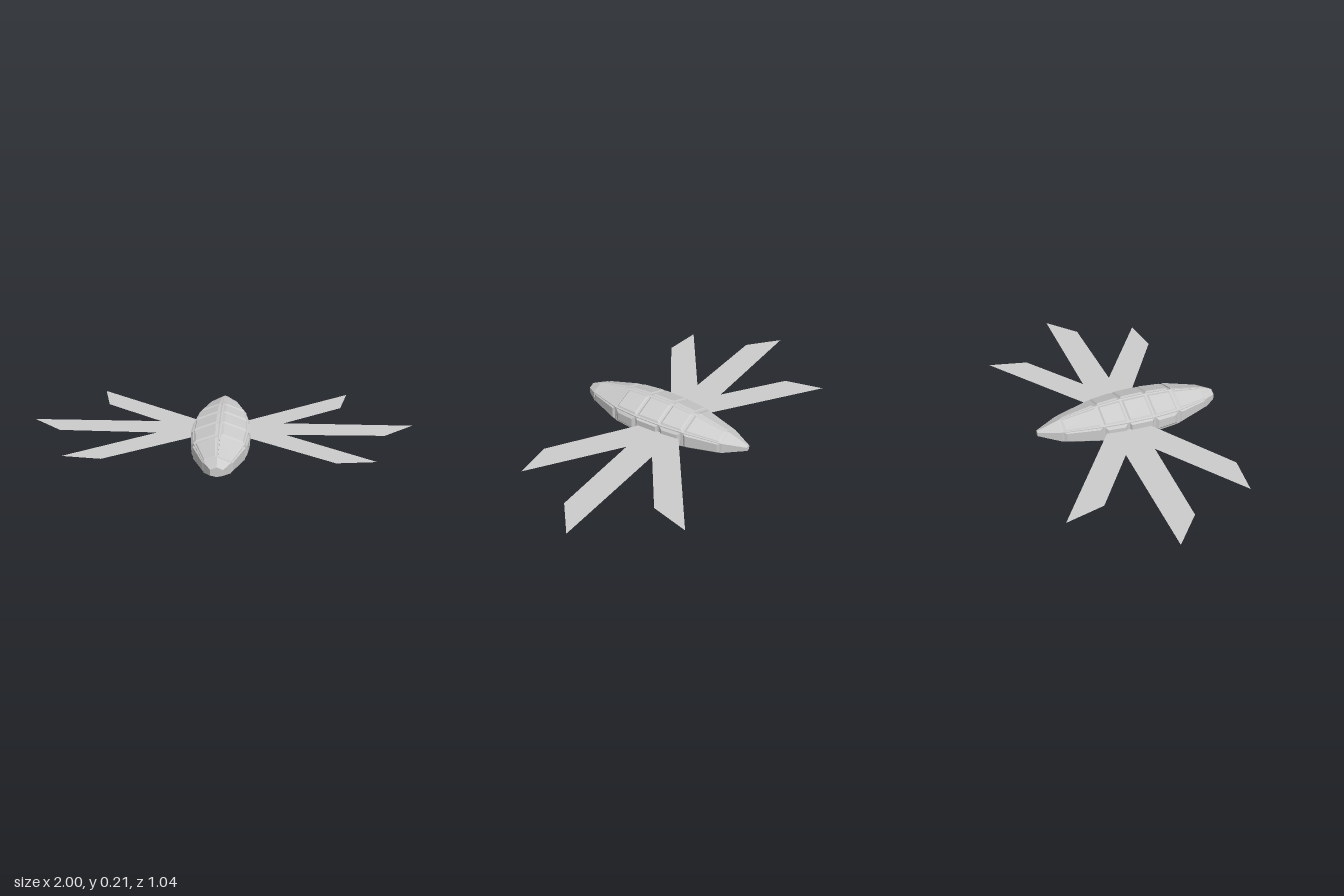
import * as THREE from 'three';

// Hull stations, nose to tail: z, half width, top ridge, upper shoulder, lower shoulder, keel
const STATIONS = [
  [0.525, 0.032, 0.139, 0.125, 0.093, 0.086],
  [0.47, 0.068, 0.166, 0.136, 0.08, 0.062],
  [0.28, 0.137, 0.203, 0.152, 0.062, 0.01],
  [0.14, 0.152, 0.214, 0.156, 0.058, -0.008],
  [0, 0.148, 0.214, 0.156, 0.058, -0.008],
  [-0.13, 0.132, 0.203, 0.152, 0.06, 0.008],
  [-0.335, 0.075, 0.165, 0.132, 0.07, 0.052],
  [-0.45, 0.013, 0.122, 0.118, 0.097, 0.092],
];
const AXIS_Y = 0.108;

// Six-sided ring, counter-clockwise seen from the front
function ring([z, w, top, up, low, keel], scale) {
  return [[0, top], [-w, up], [-w, low], [0, keel], [w, low], [w, up]]
    .map(([x, y]) => new THREE.Vector3(x * scale, AXIS_Y + (y - AXIS_Y) * scale, z));
}

function quads(list) {
  const pos = [];
  for (const [a, b, c, d] of list) for (const p of [a, b, c, a, c, d]) pos.push(p.x, p.y, p.z);
  const geo = new THREE.BufferGeometry();
  geo.setAttribute('position', new THREE.Float32BufferAttribute(pos, 3));
  geo.computeVertexNormals();
  return geo;
}

// Corners of one hull facet, inset by s across and t along, wound outwards
function facet(station, side, scale, s, t) {
  const f = ring(STATIONS[station], scale), r = ring(STATIONS[station + 1], scale);
  const n = (side + 1) % 6;
  const at = (u, v) => f[side].clone().lerp(f[n], u).lerp(r[side].clone().lerp(r[n], u), v);
  return [at(s, t), at(s, 1 - t), at(1 - s, 1 - t), at(1 - s, t)];
}

// Bevelled armour plate lying on a facet
function plate(station, side, s, t) {
  const base = facet(station, side, 0.92, 0.04, 0.03);
  const top = facet(station, side, 1, s, t);
  const walls = base.map((p, i) => {
    const j = (i + 1) % 4;
    return [p, base[j], top[j], top[i]];
  });
  return quads([top, ...walls]);
}

export function createModel() {
  const model = new THREE.Group();
  const shell = new THREE.MeshStandardMaterial({ color: 0xcccccc, flatShading: true, side: THREE.DoubleSide });
  shell.name = 'light grey';
  const add = (parent, name, geo) => {
    const mesh = new THREE.Mesh(geo, shell);
    mesh.name = name;
    parent.add(mesh);
    return mesh;
  };

  // Inner hull with closed nose and tail
  const skin = [];
  for (let i = 0; i < STATIONS.length - 1; i++)
    for (let k = 0; k < 6; k++) skin.push(facet(i, k, i === 0 ? 0.96 : 0.93, 0, 0));
  const nose = ring(STATIONS[0], 0.96), tail = ring(STATIONS[7], 0.93);
  skin.push([nose[0], nose[1], nose[2], nose[3]], [nose[0], nose[3], nose[4], nose[5]]);
  skin.push([tail[3], tail[2], tail[1], tail[0]], [tail[5], tail[4], tail[3], tail[0]]);
  add(model, 'hull', quads(skin));

  // Armour plates around the five body segments
  const names = ['upperRight', 'sideRight', 'lowerRight', 'lowerLeft', 'sideLeft', 'upperLeft'];
  for (let seg = 1; seg <= 5; seg++) {
    const group = new THREE.Group();
    group.name = `segment${seg}`;
    for (let k = 0; k < 6; k++) {
      const isSide = k === 1 || k === 4;
      let s = 0.15, t = 0.1;
      if (isSide && (seg === 2 || seg === 4)) [s, t] = [0.24, 0.16];
      if (seg === 1 && k === 5) [s, t] = [0.05, 0.04]; // broad smooth nose plate
      add(group, names[k] + 'Plate', plate(seg, k, s, t));
    }
    model.add(group);
  }

  // Flat three-bladed wings, mirrored
  const outline = [[0, -0.03], [0.12, -0.11], [0.685, -0.52], [0.637, -0.317], [0.326, -0.09], [1, -0.088],
    [0.842, 0.052], [0.332, 0.063], [0.773, 0.372], [0.572, 0.396], [0.14, 0.11], [0, 0.02]];
  for (const m of [1, -1]) {
    const shape = new THREE.Shape(outline.map(([x, z]) => new THREE.Vector2(x * m, -z)));
    const wing = add(model, m > 0 ? 'leftWing' : 'rightWing', new THREE.ShapeGeometry(shape));
    wing.rotation.x = -Math.PI / 2;
    wing.position.y = 0.11;
  }
  return model;
}
